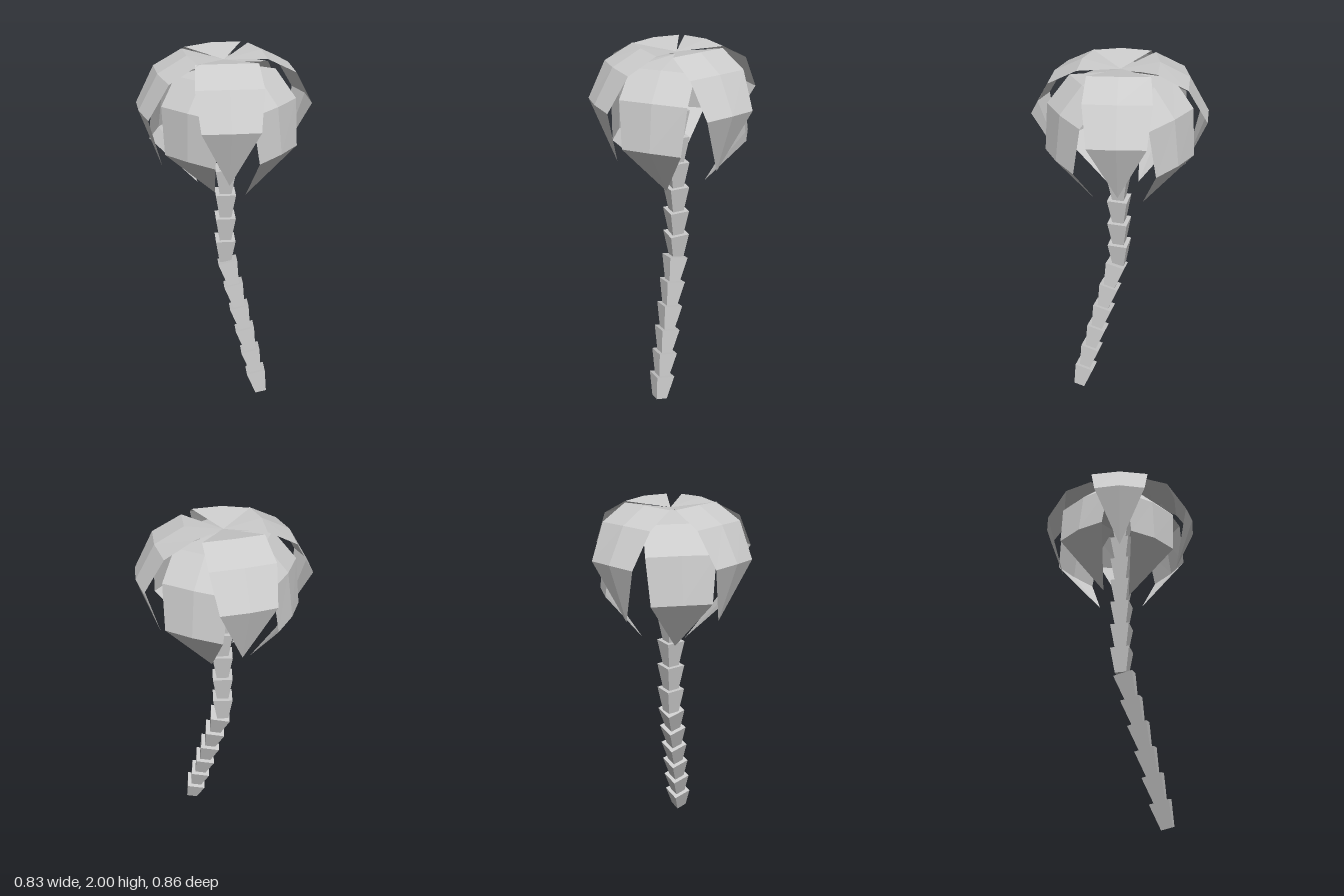
import * as THREE from 'three';

const material = new THREE.MeshStandardMaterial({ color: 0xcccccc, flatShading: true });
const leafMaterial = new THREE.MeshStandardMaterial({
  color: 0xcccccc, flatShading: true, side: THREE.DoubleSide,
});

// One four-sided trunk segment, wider at its top, between two points
function trunkSegment(from, to) {
  const dir = to.clone().sub(from);
  const mesh = new THREE.Mesh(new THREE.CylinderGeometry(0.076, 0.045, dir.length(), 4), material);
  mesh.position.copy(from).add(to).multiplyScalar(0.5);
  mesh.quaternion.setFromUnitVectors(new THREE.Vector3(0, 1, 0), dir.normalize());
  mesh.name = 'trunkSegment';
  return mesh;
}

// Drooping leaf along local +x: root point, three ridged rows [r, y, halfWidth], tip point
function leafGeometry(root, rows, tip) {
  const pos = [root[0], root[1], 0];
  for (const [r, y, w] of rows) {
    pos.push(r - 0.017, y - 0.006, -w, r, y, 0, r - 0.017, y - 0.006, w);
  }
  pos.push(tip[0], tip[1], 0);
  const index = [0, 2, 1, 0, 3, 2];
  for (let i = 0; i < rows.length - 1; i++) {
    for (let j = 0; j < 2; j++) {
      const a = 1 + i * 3 + j, b = a + 3;
      index.push(a, a + 1, b + 1, a, b + 1, b);
    }
  }
  const last = 1 + (rows.length - 1) * 3, end = last + 3;
  index.push(last, last + 1, end, last + 1, last + 2, end);
  const geometry = new THREE.BufferGeometry();
  geometry.setAttribute('position', new THREE.Float32BufferAttribute(pos, 3));
  geometry.setIndex(index);
  const flat = geometry.toNonIndexed();
  flat.computeVertexNormals();
  return flat;
}

export function createModel() {
  const group = new THREE.Group();

  // Trunk: leaning lower part, then upright up into the crown
  const trunk = new THREE.Group();
  trunk.name = 'trunk';
  const lean = [];
  for (let i = 0; i <= 6; i++) {
    lean.push(new THREE.Vector3(0.305 - 0.0435 * i, 0.015 + 0.1345 * i, 0));
  }
  for (let i = 0; i < 6; i++) trunk.add(trunkSegment(lean[i], lean[i + 1]));
  for (let i = 0; i < 8; i++) {
    const y = 0.82 + 0.1425 * i;
    const top = Math.min(y + 0.1425, 1.935);
    trunk.add(trunkSegment(new THREE.Vector3(0.027, y, 0), new THREE.Vector3(0.027, top, 0)));
  }
  group.add(trunk);

  // Crown: two layers of four leaves
  const upper = leafGeometry([0, 1.965],
    [[0.19, 2.0, 0.15], [0.336, 1.925, 0.16], [0.437, 1.752, 0.138]], [0.33, 1.44]);
  const lower = leafGeometry([0, 1.955],
    [[0.21, 1.925, 0.165], [0.335, 1.8, 0.172], [0.368, 1.565, 0.152]], [0.15, 1.275]);
  const lowerFront = leafGeometry([0, 1.955],
    [[0.195, 1.905, 0.165], [0.305, 1.78, 0.172], [0.315, 1.535, 0.152]], [0.08, 1.27]);

  const crown = new THREE.Group();
  crown.name = 'crown';
  crown.position.x = 0.017;
  const addLeaf = (geometry, degrees, name) => {
    const leaf = new THREE.Mesh(geometry, leafMaterial);
    leaf.rotation.y = -THREE.MathUtils.degToRad(degrees);
    leaf.name = name;
    crown.add(leaf);
  };
  for (const a of [-57, 45, 122, 211]) addLeaf(upper, a, 'upperLeaf');
  for (const a of [0, 160, 251]) addLeaf(lower, a, 'lowerLeaf');
  addLeaf(lowerFront, 84, 'lowerLeaf');
  group.add(crown);

  return group;
}
